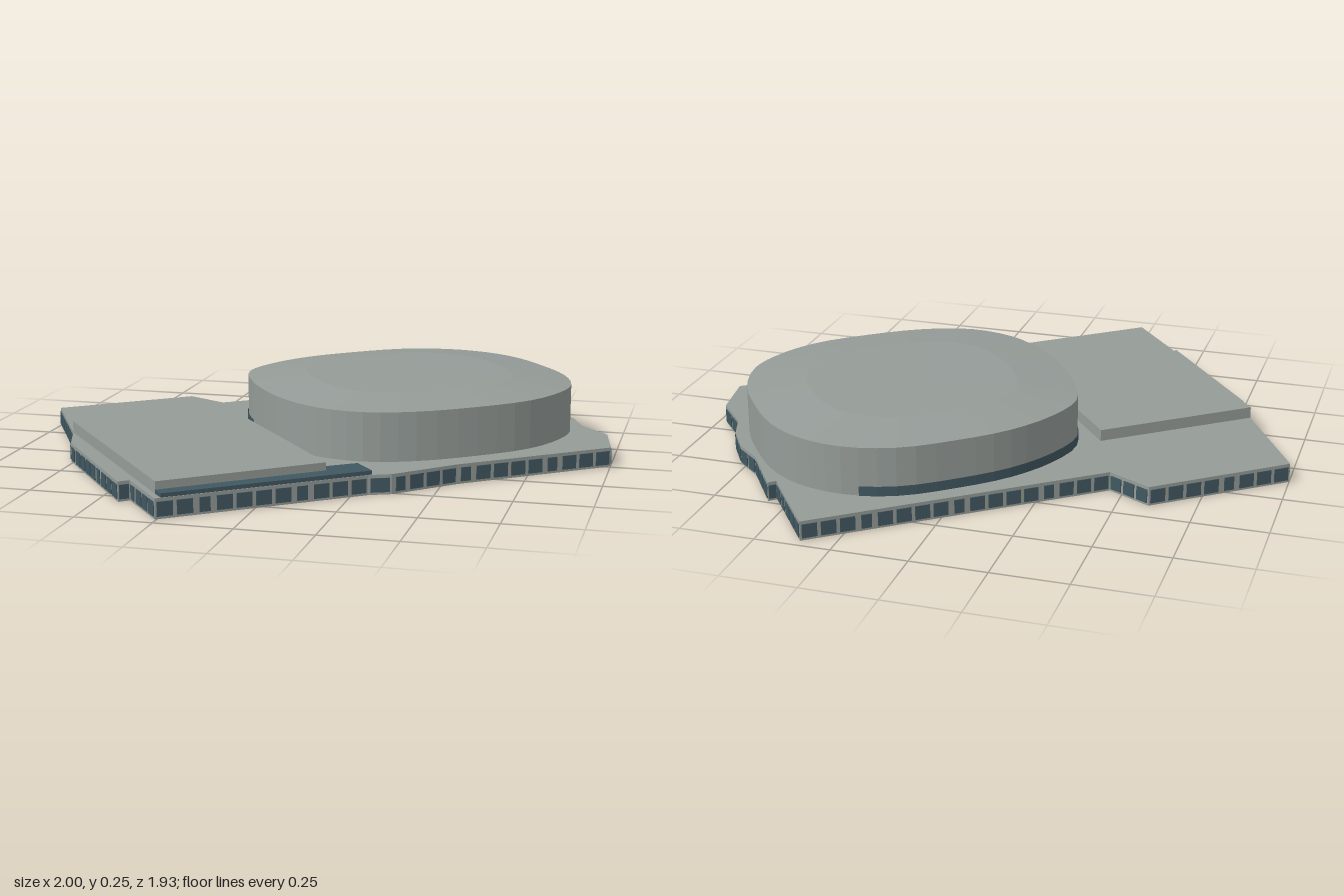
import * as THREE from 'three';

const concrete = new THREE.MeshStandardMaterial({ name: 'grey concrete', color: 0x959c98, flatShading: true });
const glass = new THREE.MeshStandardMaterial({ name: 'dark teal glass', color: 0x415861, flatShading: true, side: THREE.DoubleSide });

// Plans are [x, z] points
const basePlan = [
  [0.36, -0.97], [0.545, -0.72], [0.567, -0.74], [0.685, -0.57], [0.77, -0.5], [0.835, -0.4], [0.87, -0.305],
  [0.97, -0.19], [1, -0.01], [0.545, 0.34], [0.37, 0.51], [0.3, 0.54], [-0.255, 0.965], [-0.4, 0.785],
  [-0.43, 0.81], [-0.76, 0.38], [-0.81, 0.235], [-1, -0.11], [-0.6, -0.42], [-0.455, -0.345],
];
const hallPlan = [[-0.81, 0.235], [-0.365, -0.11], [0.17, 0.565], [-0.27, 0.915]];
const canopyPlan = [[-0.27, 0.915], [-0.24, 0.95], [0.31, 0.53], [0.245, 0.45], [0.14, 0.525], [0.17, 0.565]];
const drumPlan = [
  [0.31, -0.75], [0.47, -0.72], [0.59, -0.645], [0.7, -0.52], [0.795, -0.375], [0.84, -0.21], [0.82, -0.085],
  [0.74, 0.07], [0.59, 0.21], [0.41, 0.33], [0.245, 0.38], [0.085, 0.35], [-0.04, 0.265], [-0.15, 0.14],
  [-0.245, -0.015], [-0.295, -0.17], [-0.255, -0.32], [-0.16, -0.47], [-0.02, -0.6], [0.14, -0.71],
];
const BASE = 0.065;

// Upright prism over a plan
function prism(name, plan, y0, y1, material) {
  const shape = new THREE.Shape(plan.map(([x, z]) => new THREE.Vector2(x, -z)));
  const geo = new THREE.ExtrudeGeometry(shape, { depth: y1 - y0, bevelEnabled: false });
  geo.rotateX(-Math.PI / 2).translate(0, y0, 0);
  const mesh = new THREE.Mesh(geo, material);
  mesh.name = name;
  return mesh;
}

// Skin between stacked rings; each ring is a list of Vector3
function skin(name, rings, closed, material) {
  const pos = [];
  for (let r = 0; r + 1 < rings.length; r++) {
    const a = rings[r], b = rings[r + 1], n = a.length;
    for (let i = 0; i < (closed ? n : n - 1); i++) {
      const j = (i + 1) % n;
      for (const p of [a[i], b[i], b[j], a[i], b[j], a[j]]) pos.push(p.x, p.y, p.z);
    }
  }
  const geo = new THREE.BufferGeometry();
  geo.setAttribute('position', new THREE.Float32BufferAttribute(pos, 3));
  geo.computeVertexNormals();
  const mesh = new THREE.Mesh(geo, material);
  mesh.name = name;
  return mesh;
}

// Window plates along every wall of the base
function windows() {
  const group = new THREE.Group();
  group.name = 'baseWindows';
  basePlan.forEach(([x0, z0], k) => {
    const [x1, z1] = basePlan[(k + 1) % basePlan.length];
    const dx = x1 - x0, dz = z1 - z0, length = Math.hypot(dx, dz);
    const count = Math.max(1, Math.round(length / 0.062));
    const pitch = length / count;
    for (let i = 0; i < count; i++) {
      const t = (i + 0.5) / count;
      const width = pitch * (i % 5 === 3 ? 0.55 : 0.8);
      const pane = new THREE.Mesh(new THREE.BoxGeometry(width, 0.046, 0.006), glass);
      pane.name = 'windowPane';
      pane.position.set(x0 + dx * t, 0.031, z0 + dz * t);
      pane.rotation.y = Math.atan2(-dz, dx);
      group.add(pane);
    }
  });
  return group;
}

// Rounded arena with a shallow sloped roof and a glazed strip at the back
function arena() {
  const group = new THREE.Group();
  group.name = 'arena';
  const cx = 0.273, cz = -0.185, steps = 60;
  const curve = new THREE.CatmullRomCurve3(drumPlan.map(([x, z]) => new THREE.Vector3(x, 0, z)), true);
  const outline = [];
  for (let i = 0; i < steps; i++) outline.push(curve.getPoint(i / steps));
  const ring = (s, y) => outline.map(p => new THREE.Vector3(cx + (p.x - cx) * s, y, cz + (p.z - cz) * s));
  group.add(skin('arenaWall', [ring(1, BASE), ring(1, 0.228)], true, concrete));
  group.add(skin('arenaRoof', [ring(1, 0.228), ring(0.64, 0.25), ring(0, 0.252)], true, concrete));
  const arc = y => ring(1.006, y).slice(41);
  group.add(skin('arenaGlazing', [arc(BASE), arc(0.098)], false, glass));
  return group;
}

export function createModel() {
  const model = new THREE.Group();
  model.name = 'arenaBuilding';
  model.add(prism('base', basePlan, 0, BASE, concrete));
  model.add(windows());
  model.add(prism('entranceCanopy', canopyPlan, BASE, 0.078, glass));
  model.add(prism('sideHall', hallPlan, BASE, 0.104, concrete));
  model.add(arena());
  return model;
}
